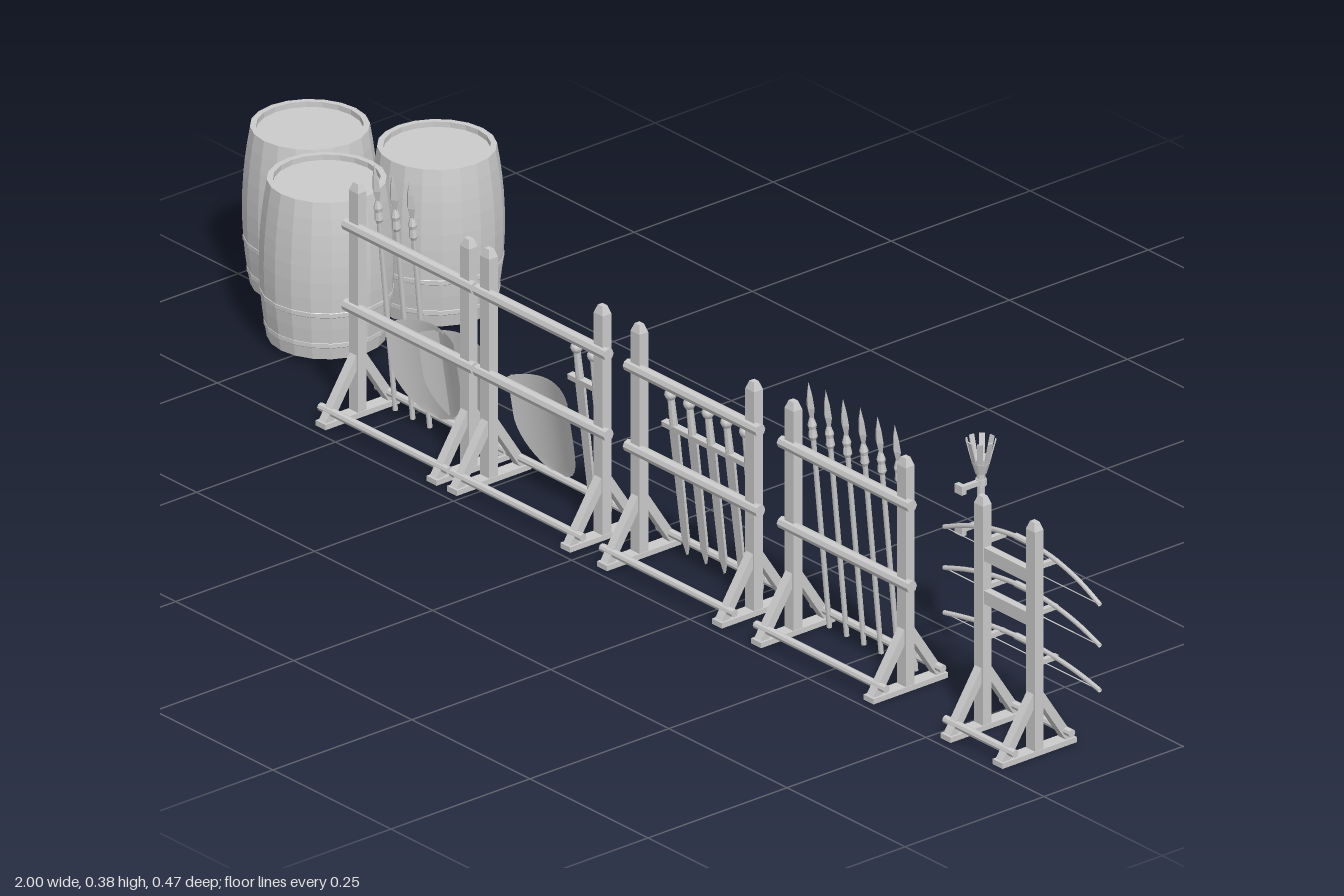
import * as THREE from 'three';

const mat = new THREE.MeshStandardMaterial({ color: 0xcccccc, side: THREE.DoubleSide });
const flat = new THREE.MeshStandardMaterial({ color: 0xcccccc, flatShading: true, side: THREE.DoubleSide });
const POST_Z = 0.169;

function add(parent, name, geo, x = 0, y = 0, z = 0, m = flat) {
  const mesh = new THREE.Mesh(geo, m);
  mesh.name = name;
  mesh.position.set(x, y, z);
  parent.add(mesh);
  return mesh;
}
const box = (w, h, d) => new THREE.BoxGeometry(w, h, d);
const cyl = (r1, r2, h, n = 8) => new THREE.CylinderGeometry(r1, r2, h, n);
const group = (parent, name, x = 0, y = 0, z = 0) => {
  const g = new THREE.Group();
  g.name = name;
  g.position.set(x, y, z);
  parent.add(g);
  return g;
};
const lathe = (pts, n) => new THREE.LatheGeometry(pts.map(p => new THREE.Vector2(...p)), n);

// Bulging barrel of flat staves with recessed lids and hoops
function barrel(parent, x, z) {
  const g = group(parent, 'barrel', x, 0.01, z);
  const h = 0.237, n = 20;
  const radius = y => 0.0935 - 0.011 * ((y / h - 0.5) * 2) ** 2;
  const side = [];
  for (let i = 0; i <= 10; i++) side.push([radius(i / 10 * h), i / 10 * h]);
  add(g, 'staves', lathe(side, n));
  const end = [[0.0825, 0], [0.074, 0], [0.074, 0.008], [0, 0.008]];
  add(g, 'bottomLid', lathe(end, n));
  add(g, 'topLid', lathe(end.map(([r, y]) => [r, h - y]), n));
  for (const y of [0.022, 0.07]) {
    const r = radius(y);
    add(g, 'hoop', lathe([[r, y - 0.004], [r + 0.001, y - 0.003], [r + 0.001, y + 0.003], [r, y + 0.004]], n));
  }
}

// Upright with pointed top, foot beam and two slanted braces
function upright(parent, x) {
  const g = group(parent, 'upright', x, 0, POST_Z);
  add(g, 'post', box(0.019, 0.335, 0.016), 0, 0.175);
  const tip = add(g, 'postTip', cyl(0.006, 0.0113, 0.012, 4), 0, 0.3485);
  tip.geometry.rotateY(Math.PI / 4);
  tip.scale.x = 1.18;
  add(g, 'foot', box(0.021, 0.008, 0.134), 0, 0.007);
  for (const s of [-1, 1]) {
    const brace = add(g, 'brace', box(0.014, 0.102, 0.013), 0, 0.051, s * 0.031);
    brace.rotation.x = -s * 0.58;
  }
}

// Rack of two uprights joined by round rails
function rack(parent, x0, x1, heights) {
  const g = group(parent, 'rack');
  upright(g, x0);
  upright(g, x1);
  const rail = (name, y, z, r) =>
    add(g, name, cyl(r, r, x1 - x0 + 0.038).rotateZ(Math.PI / 2), (x0 + x1) / 2, y, z);
  for (const y of heights) rail('rail', y, 0.174, 0.009);
  for (const s of [-1, 1]) rail('groundRail', 0.024, POST_Z + s * 0.051, 0.006);
  return g;
}

// Leaning holder: local y runs up the weapon, which rests against the rails
function leaning(parent, name, x, angle) {
  const g = group(parent, name, x, 0.003, 0.121);
  g.rotation.x = angle;
  return g;
}

function spear(parent, x) {
  const g = leaning(parent, 'spear', x, 0.098);
  add(g, 'shaft', cyl(0.004, 0.004, 0.325, 6), 0, 0.163, 0, mat);
  add(g, 'socket', lathe([[0.004, 0.295], [0.0065, 0.3], [0.005, 0.312], [0.0065, 0.318], [0.003, 0.33]], 8));
  const blade = add(g, 'blade', lathe([[0.003, 0.325], [0.0085, 0.345], [0.006, 0.365], [0, 0.386]], 4));
  blade.scale.z = 0.6;
}

function sword(parent, x) {
  const g = leaning(parent, 'sword', x, 0.12);
  const s = new THREE.Shape([[0, 0.003], [0.007, 0.025], [0.009, 0.2], [-0.009, 0.2], [-0.007, 0.025]]
    .map(p => new THREE.Vector2(...p)));
  add(g, 'blade', new THREE.ExtrudeGeometry(s, { depth: 0.004, bevelEnabled: false }), 0, 0, -0.002);
  add(g, 'guard', box(0.042, 0.008, 0.01), 0, 0.205);
  add(g, 'grip', cyl(0.005, 0.006, 0.045), 0, 0.23);
  add(g, 'pommel', new THREE.SphereGeometry(0.009, 8, 6), 0, 0.257, 0, mat);
}

// Heater shield, curved outward at the back of the rack
function shield(parent, x, z, yaw = 0, roll = 0) {
  const holder = group(parent, 'shield', x, 0.022, z);
  holder.rotation.set(0.17, yaw, roll);
  const w = 0.061, h = 0.156;
  const halfWidth = t => w * (t > 0.55 ? 1 : Math.sqrt(1 - (1 - t / 0.55) ** 1.7));
  const sheet = (lift, name) => {
    const geo = new THREE.PlaneGeometry(1, 1, 12, 14);
    const p = geo.attributes.position;
    for (let i = 0; i < p.count; i++) {
      const u = p.getX(i) * 2, t = p.getY(i) + 0.5;
      const px = u * halfWidth(t);
      p.setXYZ(i, px, t * (h - 0.008 * u * u * t), lift - 0.018 * (1 - (px / w) ** 2));
    }
    geo.computeVertexNormals();
    add(holder, name, geo, 0, 0, 0, mat);
  };
  sheet(0, 'shieldFace');
  sheet(0.004, 'shieldBacking');
}

// Bow lying across the rack, with its string
function bow(parent, yEnd, rise) {
  const g = group(parent, 'bow', 0.83, yEnd, 0.145);
  const half = 0.165, pts = [];
  for (let i = -4; i <= 4; i++) {
    const u = i / 4;
    pts.push(new THREE.Vector3(u * half, rise * (1 - u * u), -0.006 * (1 - u * u)));
  }
  add(g, 'limbs', new THREE.TubeGeometry(new THREE.CatmullRomCurve3(pts), 24, 0.0035, 6), 0, 0, 0, mat);
  add(g, 'grip', cyl(0.005, 0.005, 0.04).rotateZ(Math.PI / 2), 0, rise, -0.006);
  add(g, 'string', cyl(0.001, 0.001, half * 2, 4).rotateZ(Math.PI / 2));
}

// Torch with slatted basket and two wall brackets
function torch(parent) {
  const g = group(parent, 'torch', 0.663, 0, 0.077);
  add(g, 'handle', cyl(0.006, 0.005, 0.13), 0, 0.26, 0, mat);
  add(g, 'head', lathe([[0, 0.318], [0.008, 0.32], [0.013, 0.336], [0.014, 0.344], [0, 0.344]], 12));
  for (let i = 0; i < 8; i++) {
    const arm = group(g, 'basketSlat', 0, 0.354, 0);
    arm.rotation.y = i * Math.PI / 4;
    const slat = add(arm, 'slat', box(0.008, 0.036, 0.002), 0, 0, 0.0158);
    slat.rotation.x = 0.25;
  }
  for (const y of [0.245, 0.307]) {
    add(g, 'collar', cyl(0.008, 0.008, 0.01), 0, y);
    add(g, 'bracketArm', box(0.007, 0.007, 0.034), 0, y, 0.018);
    add(g, 'bracketPlate', box(0.016, 0.013, 0.008), 0, y, 0.037);
  }
}

export function createModel() {
  const root = new THREE.Group();
  root.name = 'armory';

  // Barrel cluster
  [[-0.907, -0.05], [-0.745, -0.141], [-0.762, 0.043]].forEach(([x, z]) => barrel(root, x, z));

  // Spears and two overlapping shields
  const r1 = rack(root, -0.548, -0.313, [0.287, 0.165]);
  [-0.525, -0.488, -0.452].forEach(x => spear(r1, x));
  shield(r1, -0.425, 0.137, 0.16);
  shield(r1, -0.372, 0.126, 0.16, -0.03);

  // Shield and swords
  const r2 = rack(root, -0.27, -0.03, [0.287, 0.165]);
  shield(r2, -0.182, 0.13);
  [-0.105, -0.07].forEach(x => sword(r2, x));

  // Swords
  const r3 = rack(root, 0.048, 0.291, [0.287, 0.165]);
  for (let i = 0; i < 5; i++) sword(r3, 0.094 + i * 0.0395);

  // Spears
  const r4 = rack(root, 0.374, 0.612, [0.287, 0.165]);
  for (let i = 0; i < 6; i++) spear(r4, 0.394 + i * 0.0365);

  // Bows on pegs
  const r5 = rack(root, 0.775, 0.885, []);
  for (const y of [0.27, 0.205]) add(r5, 'crossbar', box(0.11, 0.02, 0.012), 0.83, y, POST_Z);
  for (const [y, rise] of [[0.26, 0.036], [0.198, 0.026], [0.13, 0.015]]) {
    bow(r5, y, rise);
    for (const x of [0.775, 0.885]) add(r5, 'bowPeg', box(0.008, 0.007, 0.034), x, y + rise * 0.75 - 0.003, 0.147);
  }

  torch(root);
  return root;
}
